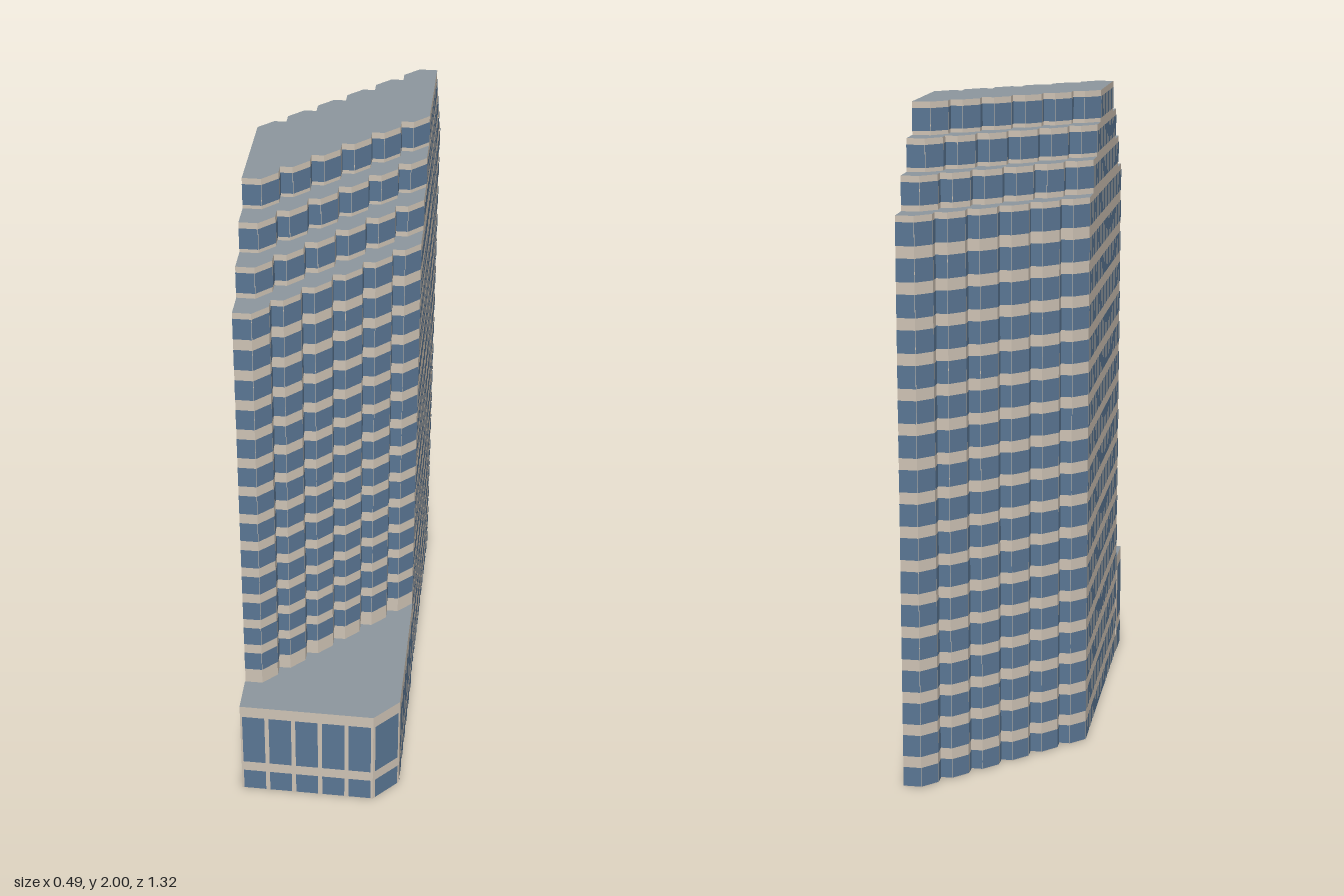
import * as THREE from 'three';

const stone = new THREE.MeshStandardMaterial({ color: 0xcdc2b4, side: THREE.DoubleSide });
stone.name = 'stone';
const glass = new THREE.MeshStandardMaterial({ color: 0x5a7693 });
glass.name = 'glass';
const roofGrey = new THREE.MeshStandardMaterial({ color: 0x8c969d, side: THREE.DoubleSide });
roofGrey.name = 'roofGrey';

const HALF = 0.243, STEP = 0.078, MID_Z = -0.06, PROUD = 0.002;
const TOPS = [1.71, 1.81, 1.905, 2.0];

// Sawtooth facade as [x, z] points from -x to +x, set back by s
function sawtooth(s) {
  const pts = [[-HALF, 0.54 - s]];
  for (let i = 0; i < 6; i++) {
    const x = -0.19 + 0.078 * i, z = 0.54 - 0.077 * i - s;
    pts.push([x, z], [x + 0.043, z - 0.042]);
    if (i < 5) pts.push([x + 0.043, z - 0.077]);
  }
  return pts;
}

const toShape = (pts) => new THREE.Shape(pts.map(([x, z]) => new THREE.Vector2(x, -z)));

function addMesh(group, name, geometry, material) {
  const mesh = new THREE.Mesh(geometry, material);
  mesh.name = name;
  group.add(mesh);
  return mesh;
}

// Vertical prism on a plan outline
function prism(pts, y0, y1) {
  const g = new THREE.ExtrudeGeometry(toShape(pts), { depth: y1 - y0, bevelEnabled: false });
  return g.rotateX(-Math.PI / 2).translate(0, y0, 0);
}

// Upright rectangle on the wall p-q, between fractions u0 and u1, pushed outward
function panel(out, p, q, u0, u1, y0, y1, push = PROUD) {
  const dx = q[0] - p[0], dz = q[1] - p[1], len = Math.hypot(dx, dz);
  const nx = (-dz / len) * push, nz = (dx / len) * push;
  const a = [p[0] + dx * u0 + nx, p[1] + dz * u0 + nz];
  const b = [p[0] + dx * u1 + nx, p[1] + dz * u1 + nz];
  out.push(a[0], y0, a[1], b[0], y0, b[1], b[0], y1, b[1]);
  out.push(a[0], y0, a[1], b[0], y1, b[1], a[0], y1, a[1]);
}

// Row of evenly spaced windows on one wall
function windowRow(out, p, q, count, fill, y0, y1) {
  for (let i = 0; i < count; i++) {
    panel(out, p, q, (i + 0.5 - fill / 2) / count, (i + 0.5 + fill / 2) / count, y0, y1);
  }
}

// Continuous glass ribbon along a facade
function ribbon(out, pts, y0, y1) {
  for (let i = 0; i + 1 < pts.length; i++) panel(out, pts[i], pts[i + 1], 0, 1, y0, y1);
}

function panelGeometry(out) {
  const g = new THREE.BufferGeometry();
  g.setAttribute('position', new THREE.Float32BufferAttribute(out, 3));
  g.computeVertexNormals();
  return g;
}

function buildTier(k) {
  const tier = new THREE.Group();
  tier.name = k === 0 ? 'towerShaft' : `setbackTier${k}`;
  const front = sawtooth(STEP * k);
  const back = front.map(([x, z]) => [-x, 2 * MID_Z - z]);
  const outline = [...front, ...back];
  const top = TOPS[k], base = k === 0 ? 0 : TOPS[k - 1];

  addMesh(tier, 'walls', prism(outline, base, top - 0.008), stone);
  addMesh(tier, 'roof', prism(outline, top - 0.008, top), [roofGrey, stone]);

  // Floors as [bottom, top] of the glazing
  const floors = [];
  if (k === 0) {
    for (let i = 0; i < 17; i++) {
      const y1 = 0.063 + 0.1018 * i;
      floors.push([Math.max(0.003, y1 - 0.067), y1]);
    }
  } else floors.push([top - 0.083, top - 0.018]);

  const ribbons = [], windows = [];
  const end = front.length - 1, columns = 20 - 4 * k;
  for (const [y0, y1] of floors) {
    ribbon(ribbons, back, y0, y1);
    if (y1 > 0.38) ribbon(ribbons, front, y0, y1);
    windowRow(windows, front[end], back[0], columns, 0.75, y0, y1);
    windowRow(windows, back[end], front[0], columns, 0.75, y0, y1);
  }
  addMesh(tier, 'ribbonWindows', panelGeometry(ribbons), glass);
  addMesh(tier, 'sideWindows', panelGeometry(windows), glass);
  return tier;
}

// Low entrance block, open underneath, wrapped round the foot of the tower
function buildPodium() {
  const podium = new THREE.Group();
  podium.name = 'podium';
  const H = 0.348;
  const path = [[-0.245, 0.54], [-0.245, 0.655], [0.17, 0.66], [0.245, 0.58], [0.245, 0.112]];
  const columns = [1, 5, 1, 6], fills = [0.8, 0.84, 0.86, 0.8];
  const walls = [], windows = [];
  for (let i = 0; i < 4; i++) {
    panel(walls, path[i], path[i + 1], 0, 1, 0, H, 0);
    windowRow(windows, path[i], path[i + 1], columns[i], fills[i], 0.003, 0.08);
    windowRow(windows, path[i], path[i + 1], columns[i], fills[i], 0.117, 0.308);
  }
  addMesh(podium, 'podiumWalls', panelGeometry(walls), stone);
  addMesh(podium, 'podiumWindows', panelGeometry(windows), glass);
  const roof = new THREE.ShapeGeometry(toShape([...path, ...sawtooth(0).reverse()]));
  addMesh(podium, 'podiumRoof', roof.rotateX(-Math.PI / 2).translate(0, H, 0), roofGrey);
  return podium;
}

export function createModel() {
  const model = new THREE.Group();
  model.name = 'officeTower';
  TOPS.forEach((_, k) => model.add(buildTier(k)));
  model.add(buildPodium());
  return model;
}
